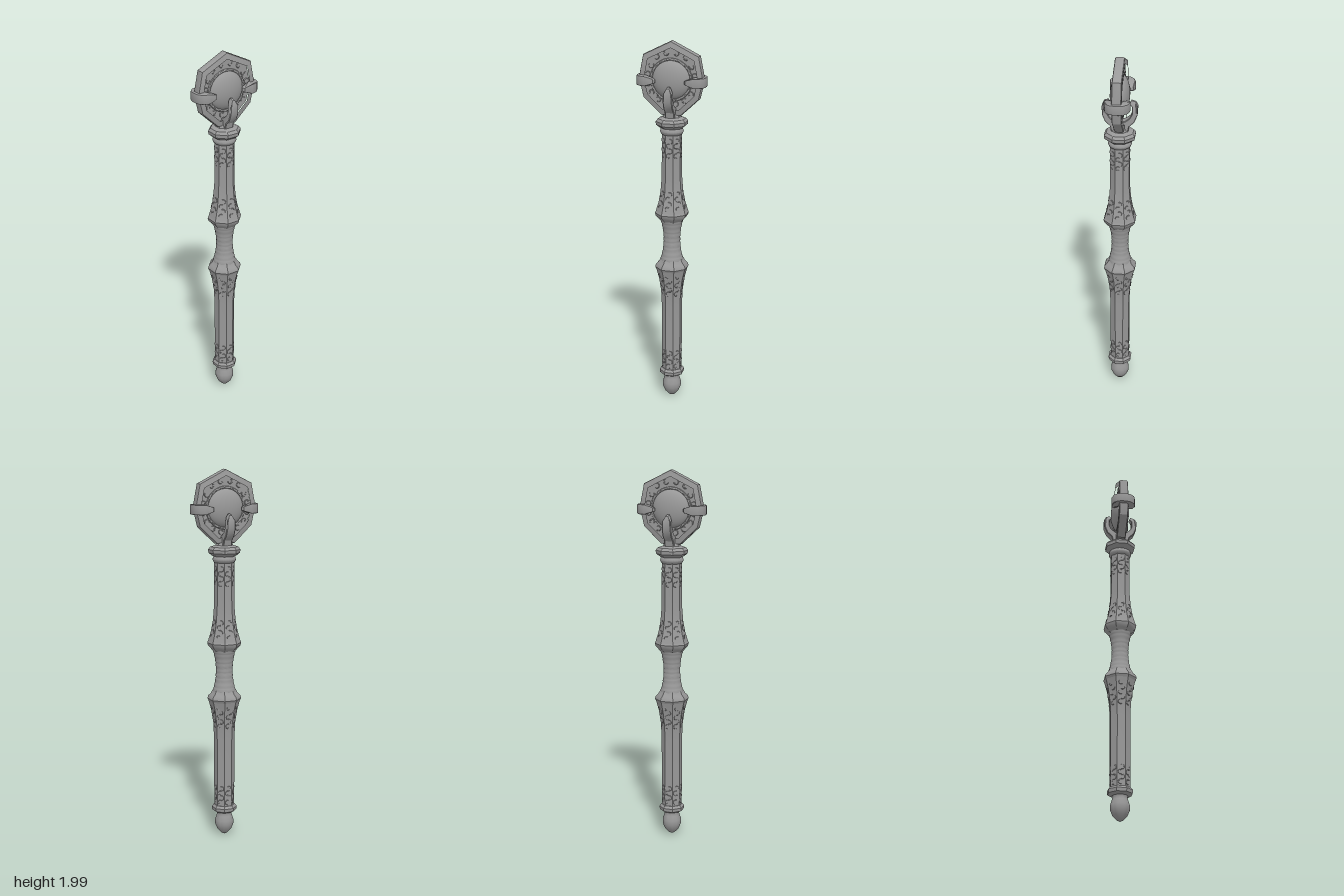
import * as THREE from 'three';
import { toCreasedNormals } from 'three/addons/utils/BufferGeometryUtils.js';

export function createModel() {
  const root = new THREE.Group();
  root.name = 'sceptre';
  const metal = new THREE.MeshStandardMaterial({ color: 0x999999 });
  metal.name = 'grey metal';

  const add = (name, geo, crease = 0.5, parent = root) => {
    const mesh = new THREE.Mesh(toCreasedNormals(geo, crease), metal);
    mesh.name = name;
    parent.add(mesh);
    return mesh;
  };
  const vecs = (pts) => pts.map(([x, y]) => new THREE.Vector2(x, y));
  // Eight-sided turned part; radii are measured to the flats
  const octagon = (name, pts) => add(name, new THREE.LatheGeometry(
    vecs(pts.map(([r, y]) => [r / Math.cos(Math.PI / 8), y])), 8, Math.PI / 8));
  const round = (name, pts) => add(name, new THREE.LatheGeometry(vecs(pts), 28), 0.7);

  // Pommel
  round('pommel', [[0, 0.005], [0.018, 0.014], [0.038, 0.036], [0.05, 0.065], [0.05, 0.09],
    [0.042, 0.115], [0.038, 0.13], [0.044, 0.145], [0, 0.15]]);
  octagon('pommelCollar', [[0, 0.135], [0.045, 0.137], [0.061, 0.147], [0.063, 0.165], [0.053, 0.178], [0, 0.18]]);

  // Faceted shafts flaring towards the grip
  const lower = [[0.05, 0.17], [0.051, 0.35], [0.051, 0.55], [0.055, 0.64], [0.065, 0.71], [0.08, 0.77]];
  const upper = [[0.08, 1.09], [0.066, 1.14], [0.056, 1.2], [0.05, 1.28], [0.049, 1.52]];
  octagon('lowerShaft', lower);
  octagon('upperShaft', upper);
  octagon('lowerGripCollar', [[0.078, 0.762], [0.084, 0.775], [0.08, 0.79], [0.066, 0.805], [0.058, 0.822], [0, 0.825]]);
  octagon('upperGripCollar', [[0, 1.035], [0.058, 1.037], [0.068, 1.05], [0.08, 1.064], [0.084, 1.08], [0.078, 1.095]]);

  // Waisted grip with shallow wrapped bands
  const grip = [];
  for (let i = 0; i <= 36; i++) {
    const t = i / 36;
    grip.push([0.043 + 0.018 * (2 * t - 1) ** 2 + (i % 4 === 0 ? 0 : 0.002), 0.815 + 0.23 * t]);
  }
  round('grip', grip);

  // Collars beneath the head
  round('lowerHeadCollar', [[0.046, 1.505], [0.056, 1.512], [0.062, 1.525], [0.058, 1.54], [0.05, 1.546]]);
  octagon('headCollar', [[0.05, 1.54], [0.062, 1.547], [0.077, 1.56], [0.079, 1.578], [0.068, 1.592], [0.045, 1.6], [0, 1.602]]);
  octagon('neck', [[0.045, 1.595], [0.036, 1.62], [0.024, 1.65], [0, 1.655]]);

  // Low scroll relief on the flats near the shaft ends
  const flatAt = (profile, y) => {
    const i = Math.max(1, profile.findIndex((p) => p[1] >= y));
    const [a, b] = [profile[i - 1], profile[i]];
    return a[0] + (b[0] - a[0]) * (y - a[1]) / (b[1] - a[1]);
  };
  const relief = new THREE.Group();
  relief.name = 'shaftScrollwork';
  root.add(relief);
  for (let f = 0; f < 8; f++) {
    const face = new THREE.Group();
    face.name = 'shaftFaceScrolls';
    face.rotation.y = f * Math.PI / 4;
    relief.add(face);
    [[lower, 0.2, 4], [lower, 0.63, 5], [upper, 1.115, 4], [upper, 1.4, 4]].forEach(([profile, y0, n]) => {
      for (let i = 0; i < n; i++) {
        const y = y0 + i * 0.026;
        const scroll = add('scroll', new THREE.TorusGeometry(0.011, 0.003, 5, 10, 4.2), 1, face);
        scroll.position.set(i % 2 ? 0.004 : -0.004, y, flatAt(profile, y) - 0.0005);
        scroll.rotation.z = i % 2 ? -2.1 : 1;
      }
    });
  }

  // Head frame: faceted outline with a rounded rim
  const outline = [[0, 1.995], [0.148, 1.922], [0.172, 1.8], [0.148, 1.7], [0.052, 1.61]];
  const mirrored = (pts) => vecs([...pts, ...pts.filter((p) => p[0] > 0).reverse().map(([x, y]) => [-x, y])]);
  const inset = (k) => mirrored(outline.map(([x, y]) => [x * k, 1.795 + (y - 1.795) * k]));
  const frame = new THREE.Shape(inset(0.95));
  frame.holes.push(new THREE.Path(inset(0.83)));
  const rim = new THREE.ExtrudeGeometry(frame, {
    depth: 0.03, bevelEnabled: true, bevelThickness: 0.01, bevelSize: 0.009, bevelSegments: 2,
  });
  rim.translate(0, 0, -0.015);
  add('headFrame', rim);

  // Recessed plate inside the frame
  const plate = new THREE.ExtrudeGeometry(new THREE.Shape(inset(0.86)), { depth: 0.024, bevelEnabled: false });
  plate.translate(0, 0, -0.012);
  add('headPlate', plate);

  // Domed gem with its setting
  const gem = new THREE.SphereGeometry(0.105, 36, 24);
  gem.scale(1, 1, 0.48);
  gem.translate(0, 1.795, 0);
  add('gem', gem, 1);
  for (const s of [1, -1]) {
    const setting = add('gemSetting', new THREE.TorusGeometry(0.106, 0.007, 8, 40), 1);
    setting.position.set(0, 1.795, s * 0.014);
    // Filigree around the gem
    for (let i = 0; i < 16; i++) {
      const a = (i + 0.5) / 16 * Math.PI * 2;
      const curl = add('headFiligree', new THREE.TorusGeometry(0.011, 0.004, 5, 10, 4.4), 1);
      const r = Math.sin(a) > 0.8 ? 0.14 : 0.127;
      curl.position.set(Math.cos(a) * r, 1.795 + Math.sin(a) * r, s * 0.012);
      curl.rotation.z = a + (i % 2 ? 2 : 0);
    }
  }

  // Side claws: C-shaped clasps tapering towards the gem
  const half = [[0.09, 0.034], [0.082, 0.045], [0.088, 0.056], [0.13, 0.062], [0.158, 0.054], [0.176, 0.034], [0.181, 0.012]];
  const clasp = new THREE.Shape(vecs([
    ...half, ...[...half].reverse().map(([x, z]) => [x, -z]),
    [0.13, -0.024], [0.15, -0.015], [0.15, 0.015], [0.13, 0.024],
  ]));
  for (const side of [1, -1]) {
    const geo = new THREE.ExtrudeGeometry(clasp, {
      depth: 0.04, bevelEnabled: true, bevelThickness: 0.006, bevelSize: 0.004, bevelSegments: 2,
    });
    geo.translate(0, 0, -0.02);
    geo.rotateX(Math.PI / 2);
    const p = geo.attributes.position;
    for (let i = 0; i < p.count; i++) {
      const k = THREE.MathUtils.clamp((p.getX(i) - 0.078) / 0.05, 0, 1);
      p.setY(i, p.getY(i) * (0.35 + 0.65 * k));
    }
    const claw = add(side > 0 ? 'leftClaw' : 'rightClaw', geo, 0.7);
    claw.position.y = 1.79;
    claw.rotation.y = side > 0 ? 0 : Math.PI;
  }

  // Front and back claws rising from the neck
  const prong = new THREE.Shape(vecs([
    [0.012, 1.6], [0.04, 1.6], [0.046, 1.63], [0.072, 1.655], [0.086, 1.69], [0.088, 1.735], [0.078, 1.758],
    [0.06, 1.764], [0.054, 1.752], [0.066, 1.735], [0.066, 1.7], [0.054, 1.675], [0.03, 1.656], [0.012, 1.65],
  ]));
  for (const side of [1, -1]) {
    const geo = new THREE.ExtrudeGeometry(prong, {
      depth: 0.042, bevelEnabled: true, bevelThickness: 0.004, bevelSize: 0.003, bevelSegments: 1,
    });
    geo.translate(0, 0, -0.021);
    geo.rotateY(-Math.PI / 2);
    const p = geo.attributes.position;
    for (let i = 0; i < p.count; i++) {
      const k = THREE.MathUtils.clamp((1.775 - p.getY(i)) / 0.045, 0.3, 1);
      p.setX(i, p.getX(i) * k);
    }
    const claw = add(side > 0 ? 'frontClaw' : 'backClaw', geo, 0.6);
    claw.rotation.y = side > 0 ? 0 : Math.PI;
  }

  return root;
}
